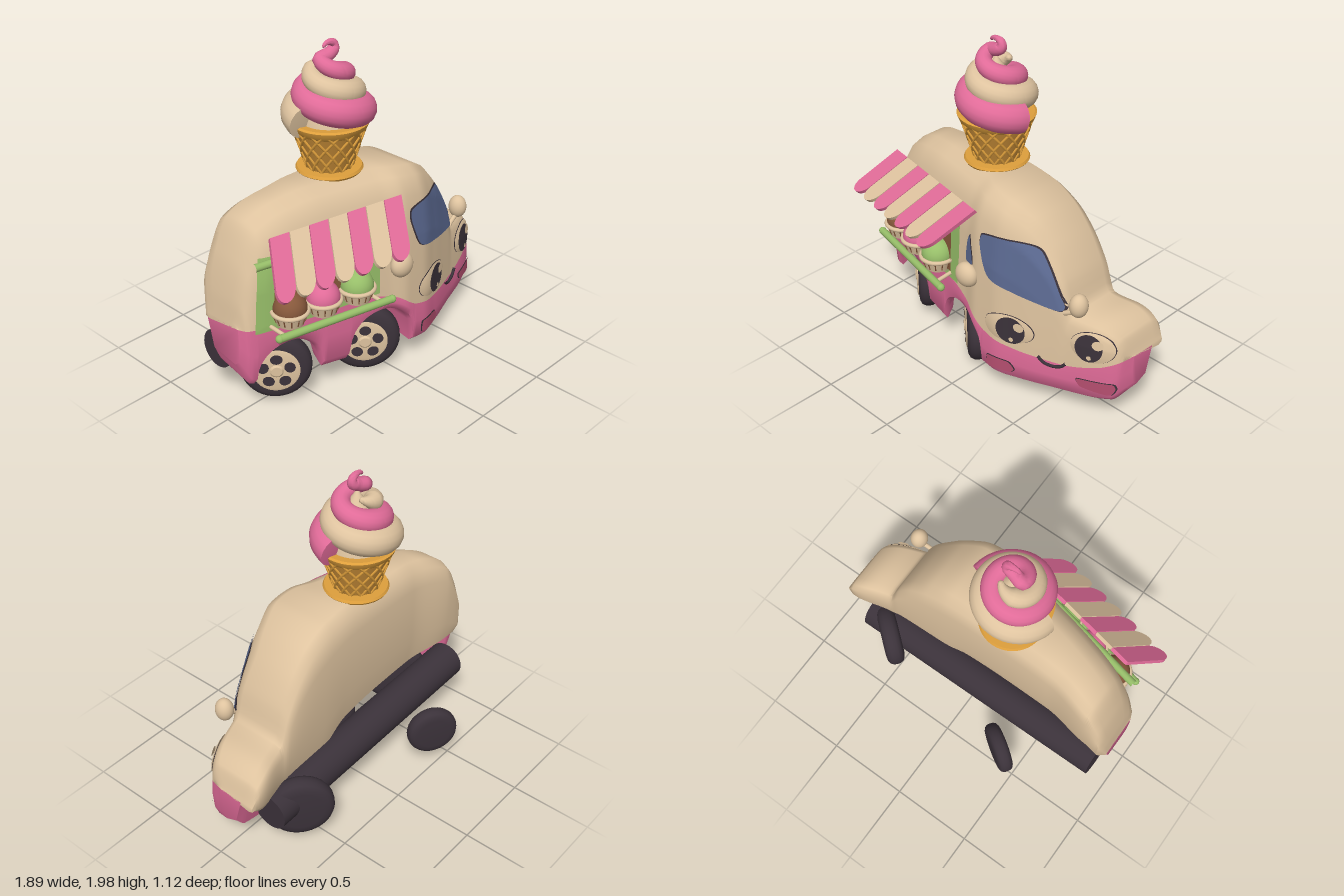
import * as THREE from 'three';
import { toCreasedNormals } from 'three/addons/utils/BufferGeometryUtils.js';

const V = (x, y, z = 0) => new THREE.Vector3(x, y, z);
const mat = (name, color, side = THREE.FrontSide) => Object.assign(new THREE.MeshStandardMaterial({ color, side }), { name });
const M = {
  cream: mat('cream', 0xdec39f, THREE.DoubleSide), pink: mat('pink', 0xe06b98, THREE.DoubleSide),
  dark: mat('charcoal', 0x3b323a), glass: mat('blue glass', 0x5c6a92), green: mat('pistachio', 0x97be69),
  brown: mat('chocolate', 0x86583b), gold: mat('waffle gold', 0xde9f3c), waffle: mat('baked waffle', 0xc48a37),
  rose: mat('deep rose', 0xb64f70),
};
function add(parent, name, geo, material, pos) {
  const m = new THREE.Mesh(geo, material);
  m.name = name;
  if (pos) m.position.copy(pos);
  parent.add(m);
  return m;
}

// Monotone smooth curve through a short table of [x, value]
function curve(t) {
  const s = t.slice(1).map((p, i) => (p[1] - t[i][1]) / (p[0] - t[i][0]));
  const m = t.map((_, i) => i === 0 ? s[0] : i === s.length ? s[i - 1]
    : s[i - 1] * s[i] > 0 ? 2 * s[i - 1] * s[i] / (s[i - 1] + s[i]) : 0);
  return x => {
    let i = 0;
    while (i < s.length - 1 && x > t[i + 1][0]) i++;
    const h = t[i + 1][0] - t[i][0], u = THREE.MathUtils.clamp((x - t[i][0]) / h, 0, 1), w = 1 - u;
    return (1 + 2 * u) * w * w * t[i][1] + u * w * w * h * m[i] + u * u * (3 - 2 * u) * t[i + 1][1] - u * u * w * h * m[i + 1];
  };
}
const roof = curve([[-.945, .6], [-.925, .75], [-.87, .97], [-.78, 1.15], [-.6, 1.23], [-.4, 1.255], [0, 1.255], [.2, 1.23],
  [.35, 1.16], [.47, 1.04], [.58, .85], [.645, .67], [.8, .64], [.9, .58], [.95, .46]]);
const belt = curve([[-.945, .6], [-.2, .56], [-.02, .51], [.15, .4], [.4, .35], [.6, .34], [.8, .385], [.95, .46]]);
const sill = curve([[-.945, .36], [-.9, .24], [-.86, .235], [-.5, .2], [.1, .15], [.25, .13], [.6, .14], [.88, .17], [.95, .25]]);
const faceZ = curve([[-.945, .06], [-.92, .11], [-.8, .155], [-.05, .335], [.08, .375], [.2, .375], [.35, .335],
  [.6, .245], [.85, .16], [.92, .11], [.95, .02]]);
const backZ = curve([[-.945, -.2], [-.9, -.245], [-.8, -.24], [-.5, -.19], [.2, -.18], [.62, -.18], [.9, -.235], [.95, -.22]]);
const backLow = curve([[-.945, .57], [-.2, .53], [.08, .49], [.3, .37], [.6, .34], [.85, .37], [.95, .42]]);
const skirtBack = curve([[-.945, -.19], [-.9, -.17], [-.86, .02], [-.5, .09], [0, .22], [.12, .1], [.25, -.13], [.95, -.135]]);
const lean = curve([[-.945, 1], [-.02, .95], [.16, .75], [.45, .7], [.6, .4], [.68, .3], [.95, .35]]);

// Front side of the upper body at x, from roof to belt, as [y, z]
const frontProfile = x => {
  const T = roof(x), h = T - belt(x), z = faceZ(x), k = lean(x);
  return [[T, z - .2 * k], [T - .05 * h, z - .12 * k], [T - .18 * h, z - .06 * k], [T - .45 * h, z - .025 * k], [belt(x), z]];
};
function frontZ(x, y) {
  const p = frontProfile(x);
  if (y >= p[0][0]) return p[0][1];
  for (let i = 1; i < p.length; i++) if (y >= p[i][0])
    return THREE.MathUtils.mapLinear(y, p[i - 1][0], p[i][0], p[i - 1][1], p[i][1]);
  return p[4][1];
}
const upperRing = x => {
  const T = roof(x), L = backLow(x), d = T - L, b = backZ(x);
  return [[L, b + .03], [L + d * .25, b], [T - d * .22, b], [T - d * .06, b + .02], [T, b + .07], ...frontProfile(x)];
};
const lowerRing = x => {
  const B = belt(x), z = faceZ(x), b = skirtBack(x);
  let y = sill(x);
  for (const [cx, cy, r] of [[-.68, .25, .195], [-.09, .23, .205]])
    if (Math.abs(x - cx) < r) y = Math.max(y, cy + Math.sqrt(r * r - (x - cx) ** 2));
  const d = B - y;
  return [[B, z], [B - d * .45, z + .008], [y + d * .12, z - .004], [y, z - .035], [y + d * .15, b + .045], [B - d * .05, b]];
};

// Skin closed cross-sections along x and cap both ends
function loft(ring) {
  const pos = [], idx = [], N = 150;
  let n;
  for (let i = 0; i <= N; i++) {
    const x = .0025 - .9475 * Math.cos(Math.PI * i / N), r = ring(x);
    n = r.length;
    r.forEach(p => pos.push(x, p[0], p[1]));
  }
  for (let i = 0; i < N; i++) for (let j = 0; j < n; j++) {
    const a = i * n + j, b = i * n + (j + 1) % n;
    idx.push(a, b, a + n, b, b + n, a + n);
  }
  for (let j = 1; j < n - 1; j++) idx.push(0, j + 1, j, N * n, N * n + j, N * n + j + 1);
  const g = new THREE.BufferGeometry();
  g.setAttribute('position', new THREE.Float32BufferAttribute(pos, 3));
  g.setIndex(idx);
  return toCreasedNormals(g, .9);
}

// Thin panel that follows the front of the body; outline runs anticlockwise
function panel(points, off, { round = .35, grow = 1, bulge = 0 } = {}) {
  const loop = new THREE.CatmullRomCurve3(points.map(p => V(...p)), true, 'catmullrom', round).getPoints(48).slice(0, 48);
  const c = loop.reduce((s, p) => s.add(p), V(0, 0)).divideScalar(48), R = 10, pos = [], idx = [];
  for (let i = 0; i <= R; i++) for (const p of loop) {
    const k = i / R, x = c.x + (p.x - c.x) * k * grow, y = c.y + (p.y - c.y) * k * grow;
    pos.push(x, y, frontZ(x, y) + off + bulge * (1 - k * k));
  }
  for (let i = 0; i < R; i++) for (let j = 0; j < 48; j++) {
    const a = i * 48 + j, b = i * 48 + (j + 1) % 48;
    idx.push(a, a + 48, b, b, a + 48, b + 48);
  }
  const g = new THREE.BufferGeometry();
  g.setAttribute('position', new THREE.Float32BufferAttribute(pos, 3));
  g.setIndex(idx);
  g.computeVertexNormals();
  return g;
}
const oval = (x, y, rx, ry) => Array.from({ length: 10 }, (_, i) => [x + rx * Math.cos(i * Math.PI / 5), y + ry * Math.sin(i * Math.PI / 5)]);
const rod = (a, b, r) => new THREE.TubeGeometry(new THREE.LineCurve3(a, b), 1, r, 12);
const lathe = (pts, crease = .6) => toCreasedNormals(new THREE.LatheGeometry(pts.map(p => new THREE.Vector2(...p)), 40), crease);

// Tube whose radius changes along its path, closed at both ends
function taperedTube(points, radius) {
  const N = 160, path = new THREE.CatmullRomCurve3(points), g = new THREE.TubeGeometry(path, N, 1, 16), p = g.attributes.position, v = V(0, 0);
  for (let i = 0; i <= N; i++) {
    const c = path.getPointAt(i / N), r = i % N ? radius(c.y, i / N) : 0;
    for (let j = 0; j <= 16; j++) {
      const k = i * 17 + j;
      v.fromBufferAttribute(p, k).sub(c).multiplyScalar(r).add(c);
      p.setXYZ(k, v.x, v.y, v.z);
    }
  }
  return toCreasedNormals(g, .9);
}

function wheel(parent, name, x, y, z, r, turn, hub) {
  const g = new THREE.Group(), k = r / .2;
  g.name = name;
  add(g, 'tire', lathe([[0, -.056], [.13, -.06], [.165, -.055], [.187, -.043], [.198, -.022], [.2, 0], [.198, .022], [.187, .043],
    [.165, .055], [.13, .06], [0, .056]].map(p => [p[0] * k, p[1] * k]), 1).rotateX(Math.PI / 2), M.dark);
  if (hub) {
    add(g, 'hub', lathe([[.132, .05], [.132, .066], [.117, .07], [.04, .07], [.03, .078], [0, .078]]).rotateX(Math.PI / 2), M.cream);
    for (let i = 0; i < 5; i++) {
      const a = Math.PI / 2 + i * Math.PI * .4;
      const h = add(g, 'hubOpening', new THREE.CircleGeometry(.033, 20).scale(1.05, .95, 1), M.dark, V(.078 * Math.cos(a), .078 * Math.sin(a), .074));
      h.rotation.z = a - Math.PI / 2;
    }
  }
  g.position.set(x, y, z);
  g.rotation.y = turn;
  parent.add(g);
}

export function createModel() {
  const van = new THREE.Group();
  van.name = 'iceCreamVan';
  add(van, 'upperBody', loft(upperRing), M.cream);
  add(van, 'lowerBody', loft(lowerRing), M.pink);

  // Chassis and wheels
  const chassis = add(van, 'chassis', new THREE.CylinderGeometry(.115, .115, 1.675, 32).rotateZ(Math.PI / 2), M.dark, V(-.055, .31, -.185));
  chassis.rotation.z = -.035;
  wheel(van, 'sideRearWheel', -.68, .245, .06, .202, -.72, true);
  wheel(van, 'sideFrontWheel', -.105, .217, .19, .21, -.72, true);
  wheel(van, 'farRearWheel', -.37, .255, -.46, .155, -.58);
  wheel(van, 'farFrontWheel', .61, .255, -.265, .195, -.7);

  // Windows
  const shield = [[.2, .77], [.38, .725], [.58, .69], [.61, .72], [.535, .88], [.455, 1.01], [.39, 1.04], [.24, 1.045], [.115, 1.02], [.105, .95], [.15, .82]];
  const quarter = [[-.03, .79], [.045, .8], [.03, .89], [0, .96], [-.02, .9]];
  for (const [n, o] of [['windshield', shield], ['quarterWindow', quarter]]) {
    add(van, n + 'Seal', panel(o, .006, { grow: 1.03 }), M.dark);
    add(van, n, panel(o, .012), M.glass);
  }

  // Eyes, smile and lamps
  for (const [x, y, rx, ry, px, pr] of [[.31, .49, .15, .088, .335, .085], [.785, .515, .12, .092, .775, .076]]) {
    add(van, 'eyeOutline', panel(oval(x, y, rx, ry), .005, { round: .5, grow: 1.02 }), M.dark);
    add(van, 'eye', panel(oval(x, y, rx, ry), .009, { round: .5, bulge: .012 }), M.cream);
    add(van, 'pupil', panel(oval(px, y, pr, .085), .022, { round: .5 }), M.dark);
    add(van, 'eyeGlint', panel(oval(px + .05, y + .035, .03, .028), .028, { round: .5 }), M.cream);
    add(van, 'eyeSpark', panel(oval(px + .01, y - .055, .013, .014), .028, { round: .5 }), M.cream);
  }
  const smile = [[.49, .365], [.52, .335], [.57, .322], [.62, .335], [.65, .365]].map(([x, y]) => V(x, y, frontZ(x, y) + .012));
  add(van, 'smile', new THREE.TubeGeometry(new THREE.CatmullRomCurve3(smile), 24, .009, 8), M.dark);
  for (const o of [[[.185, .198], [.33, .197], [.355, .225], [.32, .265], [.19, .268]], [[.74, .245], [.895, .23], [.918, .27], [.9, .305], [.72, .292]]]) {
    add(van, 'lampRim', panel(o, .012, { round: .25, grow: 1.06 }), M.dark);
    add(van, 'lamp', panel(o, .017, { round: .25 }), M.rose);
  }

  // Mirrors
  for (const [x, y, z, rx, ry, fx, fy] of [[.01, .72, .37, .075, .075, .04, .68], [.7, .765, .205, .052, .07, .61, .68]]) {
    add(van, 'mirror', new THREE.SphereGeometry(1, 28, 18).scale(rx, ry, .055), M.cream, V(x, y, z));
    add(van, 'mirrorArm', rod(V(fx, fy, frontZ(fx, fy)), V(x, y - .04, z), .014), M.cream);
  }

  // Serving window with header and counter rail
  add(van, 'windowFrame', panel([[-.89, .575], [-.5, .57], [-.12, .57], [-.11, .78], [-.11, 1.0], [-.48, 1.0], [-.82, 1.0], [-.86, .8]], .01, { round: 0 }), M.green);
  add(van, 'windowOpening', panel([[-.78, .625], [-.48, .62], [-.19, .62], [-.19, .78], [-.19, .97], [-.48, .97], [-.76, .97], [-.77, .8]], .018, { round: 0 }), M.brown);
  add(van, 'windowHeader', rod(V(-.87, .975, .13), V(-.09, .975, .305), .022), M.green);
  const railA = V(-.84, .59, .272), railB = V(-.14, .59, .435);
  add(van, 'counterRail', rod(railA, railB, .022), M.green);
  for (const p of [railA, railB]) add(van, 'railEnd', new THREE.SphereGeometry(.023, 16, 12), M.green, p);
  for (const x of [-.8, -.2]) add(van, 'railBracket', rod(V(x, .6, faceZ(x) - .02), V(x, .59, .272 + (x + .84) * .233), .012), M.cream);

  // Sundae cups
  for (const [x, m] of [[-.71, M.brown], [-.51, M.pink], [-.295, M.green]]) {
    const z = frontZ(x, .68) + .045;
    add(van, 'cup', new THREE.CylinderGeometry(.098, .075, .08, 28), M.cream, V(x, .65, z));
    add(van, 'cupRim', new THREE.TorusGeometry(.097, .013, 10, 32).rotateX(Math.PI / 2), M.cream, V(x, .685, z));
    for (let i = 0; i < 14; i++) {
      const a = i * Math.PI / 7;
      add(van, 'cupGroove', rod(V(x + .079 * Math.cos(a), .625, z + .079 * Math.sin(a)), V(x + .094 * Math.cos(a), .67, z + .094 * Math.sin(a)), .0035), M.brown);
    }
    add(van, 'scoop', new THREE.SphereGeometry(.094, 28, 18), m, V(x, .7, z));
  }

  // Awning slats with scalloped ends
  const slat = new THREE.Shape().moveTo(.02, 0).lineTo(.98, 0).lineTo(.98, .78).absellipse(.5, .78, .48, .22, 0, Math.PI).lineTo(.02, 0);
  for (let i = 0; i < 7; i++) {
    const g = new THREE.ExtrudeGeometry(slat, { depth: 1, bevelEnabled: false, curveSegments: 10 });
    const U = V(.119, 0, .0235), W = V(-.172, -.228, .235), n = U.clone().cross(W).setLength(.024);
    g.applyMatrix4(new THREE.Matrix4().makeBasis(U, W, n).setPosition(-.79 + i * .119, 1.135, .165 + i * .0235));
    g.computeVertexNormals();
    add(van, 'awningSlat', g, i % 2 ? M.cream : M.pink);
  }

  // Waffle cone with diagonal lattice
  const treat = new THREE.Group();
  treat.name = 'iceCreamCone';
  treat.position.set(-.15, 0, -.035);
  van.add(treat);
  add(treat, 'coneBase', lathe([[0, 1.245], [.18, 1.245], [.188, 1.258], [.18, 1.272], [0, 1.272]]), M.gold);
  add(treat, 'coneWall', lathe([[.125, 1.26], [.2, 1.51]]), M.waffle);
  add(treat, 'coneRim', lathe([[.195, 1.49], [.215, 1.515], [.224, 1.54], [.212, 1.548], [0, 1.53]]), M.gold);
  for (const dir of [-1, 1]) for (let i = 0; i < 14; i++) {
    const pts = Array.from({ length: 9 }, (_, k) => {
      const a = i * Math.PI / 7 + dir * k * .13, r = .127 + .0755 * k / 8;
      return V(r * Math.cos(a), 1.265 + .245 * k / 8, r * Math.sin(a));
    });
    add(treat, 'coneLattice', new THREE.TubeGeometry(new THREE.CatmullRomCurve3(pts), 12, .008, 6), M.gold);
  }

  // Two-flavour swirl ending in a hooked tip
  const swirl = (start, turns, tip) => {
    const pts = [];
    for (let a = 0; a <= turns * Math.PI * 2; a += .2) {
      const y = 1.57 + .105 * a / Math.PI, r = Math.max(.025, THREE.MathUtils.mapLinear(y, 1.57, 1.91, .18, .048));
      pts.push(V(r * Math.cos(a + start), y, r * Math.sin(a + start)));
    }
    return pts.concat(tip);
  };
  const thick = (y, t) => THREE.MathUtils.mapLinear(Math.min(y, 1.95), 1.565, 1.95, .096, .03) * Math.min(1, (1 - t) * 8 + .25);
  add(treat, 'creamSwirl', taperedTube(swirl(Math.PI, 1.38, []), thick), M.cream);
  add(treat, 'pinkSwirl', taperedTube(swirl(0, 1.55, [V(.005, 1.91, 0), V(.042, 1.935, 0), V(.04, 1.96, 0), V(.01, 1.974, 0), V(-.025, 1.97, 0), V(-.04, 1.952, 0)]), thick), M.pink);
  add(treat, 'swirlCore', lathe([[.17, 1.53], [.15, 1.62], [.08, 1.76], [0, 1.88]]), M.cream);
  return van;
}
